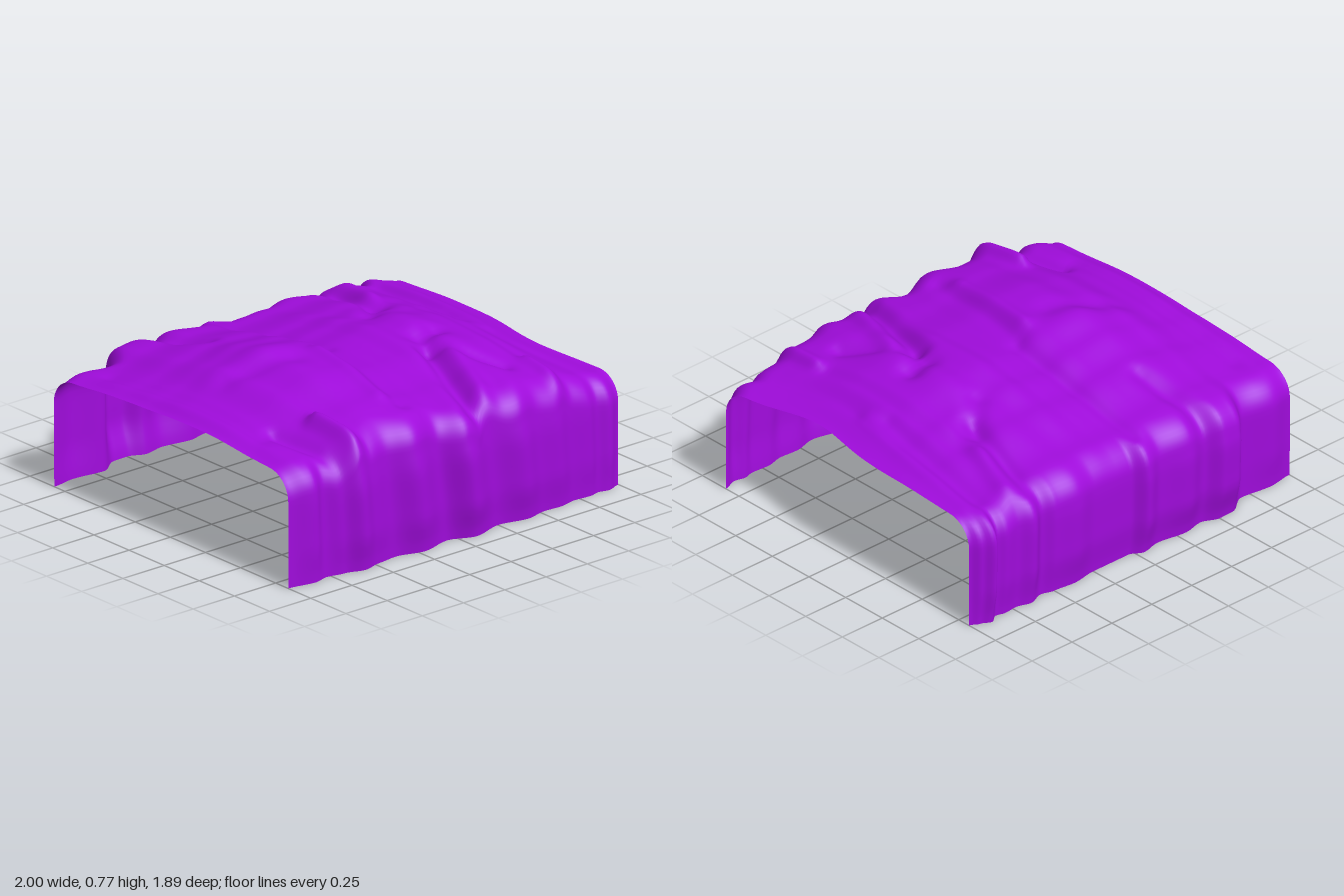
import * as THREE from 'three';

// smooth lookup in a list of [position, value] pairs
function curve(pts, x) {
  if (x <= pts[0][0]) return pts[0][1];
  for (let i = 1; i < pts.length; i++) {
    if (x <= pts[i][0]) {
      const [a, p] = pts[i - 1], [b, q] = pts[i];
      return p + (q - p) * THREE.MathUtils.smoothstep(x, a, b);
    }
  }
  return pts[pts.length - 1][1];
}

// how far the pleats of each hanging side push outwards, along x
const frontPleats = [[-1, 0], [-.86, .04], [-.79, .01], [-.7, .04], [-.6, .09], [-.5, .05], [-.4, .03], [-.25, .09],
  [-.09, .03], [.05, .11], [.22, .04], [.38, .09], [.5, .05], [.6, .06], [.7, .03], [.8, .04], [.86, .02], [.92, .04], [1, 0]];
const backPleats = [[-1, .01], [-.87, .04], [-.7, .01], [-.58, .12], [-.5, .125], [-.41, .07], [-.3, .105], [-.14, .07],
  [-.04, .105], [.03, .05], [.25, .05], [.38, .08], [.5, .06], [.57, .03], [.65, .075], [.73, .04], [.8, .05], [.85, .03], [.9, .08], [.95, .04], [1, 0]];

// height of the top: edge line, plus a swelling across x scaled along z
const edgeHeight = [[-.8, .55], [-.3, .57], [.2, .58], [.75, .55]];
const swellX = [[-1, .025], [-.9, .065], [-.8, .07], [-.6, .145], [-.4, .2], [-.2, .18], [0, .13], [.1, .14],
  [.2, .165], [.3, .15], [.4, .165], [.6, .12], [.7, .09], [.85, .035], [1, 0]];
const swellZ = [[-.9, .2], [-.7, .33], [-.4, .62], [-.2, .85], [0, 1], [.3, .93], [.6, .75], [.9, .53]];

// wrinkles on the top: x0, z0, x1, z1, width, height
const wrinkles = [
  [.1, .85, .28, .32, .05, -.05], [.2, .85, .36, .4, .05, .03], [.32, .3, .5, .6, .05, -.03],
  [.35, .2, .45, .17, .06, -.04], [.38, -.2, .6, -.4, .06, -.03], [.6, -.4, .72, -.8, .05, .03],
  [.5, -.3, .62, -.8, .04, -.02], [.82, .1, .93, -.7, .05, .015], [.76, 0, .85, -.7, .05, -.015],
  [-.05, -.8, -.06, 0, .04, -.02], [-.1, .05, -.2, .7, .05, -.02], [-.18, .1, -.24, .6, .05, .025],
  [-.65, 0, -.35, .1, .07, -.02], [-.6, -.1, -.3, -.05, .12, .012], [-.4, -.85, -.36, -.5, .05, -.025],
  [-.72, .85, -.8, .5, .04, -.03], [-.61, .85, -.63, .6, .04, .05], [-.85, -.6, -.88, .5, .05, -.012],
  [.64, .85, .66, .6, .04, .035],
];

function wrinkle(x, z) {
  let sum = 0;
  for (const [x0, z0, x1, z1, w, h] of wrinkles) {
    const dx = x1 - x0, dz = z1 - z0;
    const t = THREE.MathUtils.clamp(((x - x0) * dx + (z - z0) * dz) / (dx * dx + dz * dz), 0, 1);
    const d = Math.hypot(x - x0 - t * dx, z - z0 - t * dz) / w;
    sum += h * Math.exp(-d * d);
  }
  return sum * Math.min(1, (1 - Math.abs(x)) * 8);
}

function topHeight(x, z) {
  const pleat = z > 0 ? curve(frontPleats, x) - .04 : curve(backPleats, x) - .06;
  const carry = THREE.MathUtils.smoothstep(Math.abs(z), .2, .9) * .3 * (1 - x ** 4);
  return curve(edgeHeight, z) + curve(swellX, x) * curve(swellZ, z) + wrinkle(x, z) + pleat * carry;
}

// outward position of a hanging side at height y
function sideDepth(side, x, y) {
  const belly = curve([[0, .6], [.2, .95], [.4, 1], [.6, .75]], y);
  if (side < 0) return .82 + curve(backPleats, x) * belly;
  return .84 + curve(frontPleats, x + .15 * (y - .25) * (1 - x * x)) * belly;
}

const COLS = 200, WALL = 14, BEND = 9, TOP = 56, RADIUS = .13;

// points of one hanging side, from hem to the end of the shoulder bend
function sidePoints(side, x) {
  const pts = [];
  const shoulder = topHeight(x, side * .85) - RADIUS;
  for (let i = 0; i < WALL; i++) {
    const y = .008 + (shoulder - .008) * i / WALL;
    pts.push([side * sideDepth(side, x, y), y]);
  }
  const depth = sideDepth(side, x, shoulder);
  for (let i = 0; i <= BEND; i++) {
    const a = i / BEND * Math.PI / 2;
    const z = side * (depth - RADIUS + RADIUS * Math.cos(a));
    const h = THREE.MathUtils.lerp(shoulder + RADIUS, topHeight(x, z), i / BEND);
    pts.push([z, h - RADIUS + RADIUS * Math.sin(a)]);
  }
  return pts;
}

// full section of the cloth from front hem to back hem
function section(x) {
  const front = sidePoints(1, x), back = sidePoints(-1, x).reverse();
  const z0 = front[front.length - 1][0], z1 = back[0][0];
  const top = [];
  for (let i = 1; i < TOP; i++) {
    const z = z0 + (z1 - z0) * i / TOP;
    top.push([z, topHeight(x, z)]);
  }
  return [...front, ...top, ...back];
}

export function createModel() {
  const group = new THREE.Group();
  group.name = 'drapedBlanket';
  const positions = [], indices = [];
  let rows = 0;
  for (let c = 0; c <= COLS; c++) {
    const x = -1 + 2 * c / COLS;
    const pts = section(x);
    rows = pts.length;
    for (const [z, y] of pts) {
      // the left edge is drawn inwards along the top
      const pull = .065 * Math.exp(-(((z - .3) / .28) ** 2)) * THREE.MathUtils.smoothstep(x, .5, 1);
      positions.push(x - pull, y, z);
    }
  }
  for (let c = 0; c < COLS; c++) {
    for (let r = 0; r < rows - 1; r++) {
      const a = c * rows + r, b = a + rows;
      indices.push(a, b, b + 1, a, b + 1, a + 1);
    }
  }
  const geometry = new THREE.BufferGeometry();
  geometry.setAttribute('position', new THREE.Float32BufferAttribute(positions, 3));
  geometry.setIndex(indices);
  geometry.computeVertexNormals();
  const blanket = new THREE.Mesh(geometry, new THREE.MeshStandardMaterial({ color: 0xa00cdc, side: THREE.DoubleSide }));
  blanket.name = 'blanket';
  group.add(blanket);
  return group;
}
